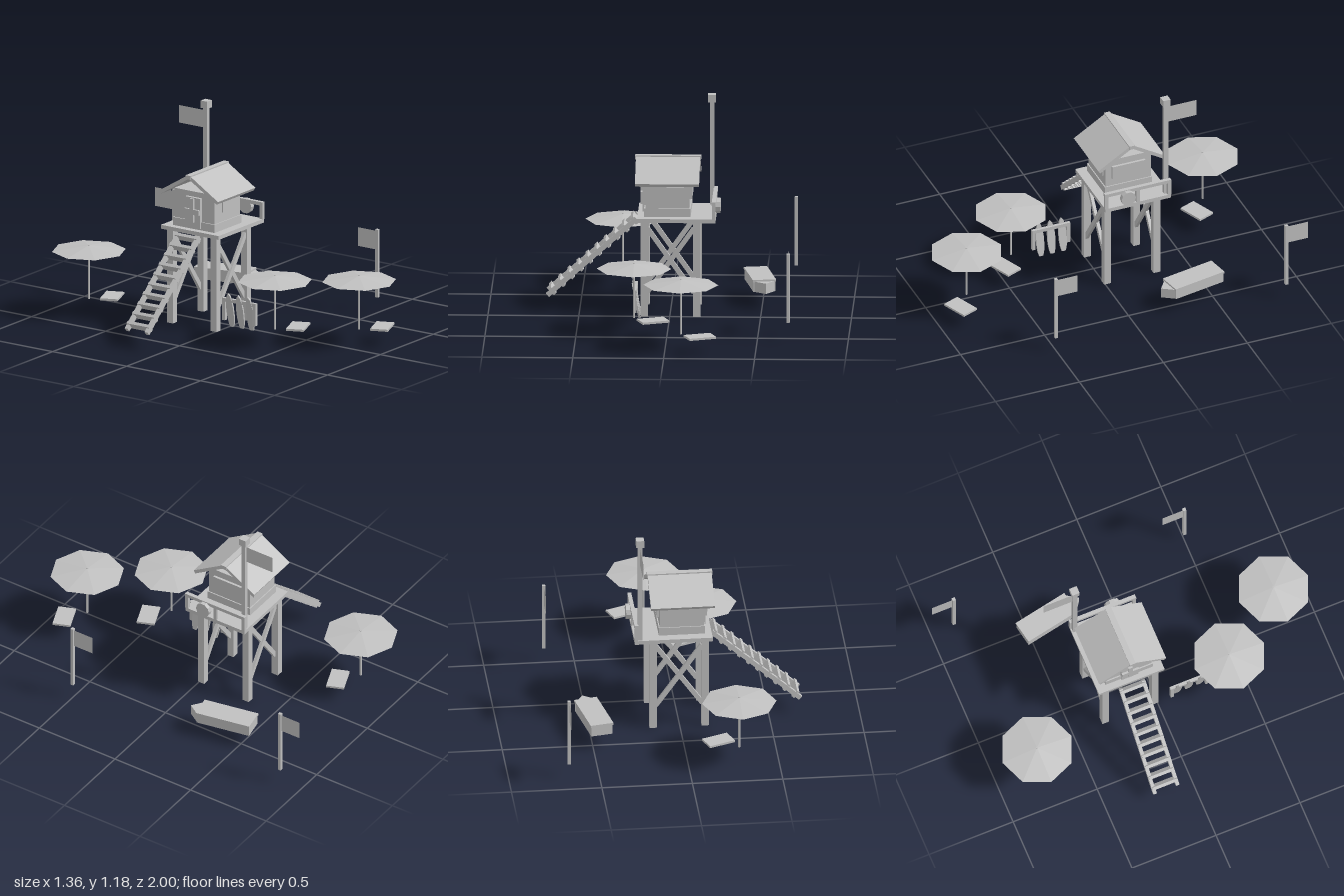
import * as THREE from 'three';

export function createModel() {
  const model = new THREE.Group();
  model.name = 'beachLifeguardStation';
  const grey = new THREE.MeshStandardMaterial({ color: 0xc0c0c0 });
  grey.name = 'plainGrey';
  const greySheet = new THREE.MeshStandardMaterial({ color: 0xc0c0c0, side: THREE.DoubleSide });
  greySheet.name = 'plainGrey';

  const add = (name, geo, x = 0, y = 0, z = 0, parent = model, mat = grey) => {
    const mesh = new THREE.Mesh(geo.index ? geo.toNonIndexed() : geo, mat);
    mesh.geometry.computeVertexNormals();
    mesh.name = name;
    mesh.position.set(x, y, z);
    parent.add(mesh);
    return mesh;
  };
  // box given by its limits on each axis
  const box = (name, x0, x1, y0, y1, z0, z1, parent = model) =>
    add(name, new THREE.BoxGeometry(x1 - x0, y1 - y0, z1 - z0),
      (x0 + x1) / 2, (y0 + y1) / 2, (z0 + z1) / 2, parent);
  const group = (name, x = 0, y = 0, z = 0) => {
    const g = new THREE.Group();
    g.name = name;
    g.position.set(x, y, z);
    model.add(g);
    return g;
  };
  const CZ = -0.161; // tower centre line

  // Tower legs and cross braces
  const tower = group('tower');
  for (const z of [CZ - 0.147, CZ + 0.147]) {
    for (const x of [-0.14, 0.148]) box('leg', x - 0.02, x + 0.02, 0, 0.54, z - 0.02, z + 0.02, tower);
    for (const s of [-1, 1]) {
      const brace = add('crossBrace', new THREE.BoxGeometry(0.445, 0.026, 0.018), 0.004, 0.315, z + s * 0.004, tower);
      brace.rotation.z = s * 0.955;
    }
  }
  box('platform', -0.179, 0.252, 0.536, 0.558, CZ - 0.195, CZ + 0.195, tower);

  // Cabin
  const cabin = group('cabin');
  box('cabinWalls', -0.135, 0.108, 0.557, 0.77, CZ - 0.135, CZ + 0.135, cabin);
  box('cabinBase', -0.142, 0.114, 0.557, 0.604, CZ - 0.141, CZ + 0.141, cabin);
  for (const s of [-1, 1]) {
    const z = CZ + s * 0.137;
    box('window', -0.062, 0.077, 0.657, 0.723, z - 0.004, z + 0.004, cabin);
  }
  box('sideWindow', 0.106, 0.122, 0.65, 0.73, CZ - 0.098, CZ + 0.098, cabin);
  box('door', -0.153, -0.134, 0.567, 0.74, CZ - 0.05, CZ + 0.05, cabin);
  box('doorPost', -0.165, -0.15, 0.6, 0.735, CZ - 0.013, CZ + 0.013, cabin);
  box('doorBar', -0.165, -0.15, 0.645, 0.675, CZ - 0.05, CZ + 0.05, cabin);

  // Pitched roof
  const pitch = 0.55;
  for (const s of [-1, 1]) {
    const slab = add('roofSlab', new THREE.BoxGeometry(0.353, 0.02, 0.224), -0.014, 0.806, CZ + s * 0.099, cabin);
    slab.rotation.x = s * pitch;
  }
  box('ridgeCap', -0.195, 0.168, 0.853, 0.875, CZ - 0.017, CZ + 0.017, cabin);

  // Railing with lifebuoy
  const railing = group('railing');
  for (const z of [-0.187, 0, 0.187])
    box('railPost', 0.234, 0.252, 0.557, 0.64, CZ + z - 0.01, CZ + z + 0.01, railing);
  box('topRail', 0.232, 0.254, 0.635, 0.655, CZ - 0.197, CZ + 0.197, railing);
  const buoy = add('lifebuoy', new THREE.CylinderGeometry(0.043, 0.043, 0.026, 10), 0.264, 0.609, -0.095, railing);
  buoy.rotation.z = Math.PI / 2;

  // Flags: thin square pole with a sheet trailing to -z
  const flag = (name, x, z, y0, y1, w, sheetLength, sheetTop, sheetHeight) => {
    const g = group(name, x, 0, z);
    box('flagPole', -w / 2, w / 2, y0, y1, -w / 2, w / 2, g);
    const sheet = add('flagSheet', new THREE.PlaneGeometry(sheetLength, sheetHeight),
      0, sheetTop - sheetHeight / 2, -w / 2 - sheetLength / 2, g, greySheet);
    sheet.rotation.y = Math.PI / 2;
    return g;
  };
  const mast = flag('mast', 0.222, -0.336, 0.557, 1.14, 0.025, 0.172, 1.122, 0.1);
  box('mastCap', -0.022, 0.022, 1.138, 1.18, -0.022, 0.022, mast);
  for (const z of [0.502, -0.87]) flag('beachFlag', 0.668, z, 0.09, 0.478, 0.018, 0.121, 0.468, 0.107);

  // Ladder, built along x and then tilted
  const ladder = group('ladder', -0.43, 0.312, CZ - 0.002);
  ladder.rotation.z = Math.atan2(0.435, 0.49);
  for (const z of [-0.067, 0.067])
    box('ladderRail', -0.328, 0.328, -0.013, 0.013, z - 0.01, z + 0.01, ladder);
  for (let i = 0; i < 10; i++) {
    const x = -0.292 + i * 0.067;
    box('rung', x - 0.009, x + 0.009, -0.023, 0.023, -0.074, 0.074, ladder);
  }

  // Parasols, each with a lounging mat
  for (const [x, z] of [[-0.283, -0.768], [-0.182, 0.417], [0.088, 0.793]]) {
    const g = group('parasol', x, 0, z);
    add('canopy', new THREE.ConeGeometry(0.206, 0.029, 8), 0, 0.382, 0, g);
    add('parasolPole', new THREE.CylinderGeometry(0.006, 0.006, 0.309, 8), 0, 0.2445, 0, g);
    const mat = add('beachMat', new THREE.BoxGeometry(0.155, 0.012, 0.1), 0.107, 0.094, 0.08, g);
    mat.rotation.y = 0.38;
  }

  // Boat with a triangular bow
  const boat = group('boat', 0.483, 0, -0.395);
  boat.rotation.y = 0.19;
  box('hull', -0.061, 0.061, 0.088, 0.145, -0.157, 0.157, boat);
  box('gunwale', -0.065, 0.065, 0.143, 0.156, -0.16, 0.16, boat);
  const bow = new THREE.Shape([[-0.062, -0.15], [0.062, -0.15], [0, -0.215]].map((p) => new THREE.Vector2(...p)));
  const bowGeo = new THREE.ExtrudeGeometry(bow, { depth: 0.058, bevelEnabled: false });
  bowGeo.rotateX(-Math.PI / 2);
  add('bow', bowGeo, 0, 0.088, 0, boat);

  // Surfboard rack
  const rack = group('surfboardRack', -0.182, 0, 0.179);
  for (const z of [-0.103, 0.103])
    box('rackPost', -0.009, 0.009, 0.088, 0.2, z - 0.01, z + 0.01, rack);
  box('rackBar', -0.009, 0.009, 0.195, 0.215, -0.113, 0.113, rack);
  const half = [[0.012, -0.098], [0.019, -0.07], [0.023, -0.03], [0.023, 0.02], [0.018, 0.06], [0.011, 0.087]];
  const outline = [[0, -0.1], ...half, [0, 0.1], ...half.map(([x, y]) => [-x, y]).reverse()];
  const boardGeo = new THREE.ExtrudeGeometry(
    new THREE.Shape(outline.map((p) => new THREE.Vector2(...p))), { depth: 0.01, bevelEnabled: false });
  boardGeo.translate(0, 0, -0.005);
  boardGeo.rotateY(Math.PI / 2);
  boardGeo.rotateZ(0.19);
  for (const z of [-0.067, 0, 0.067]) add('surfboard', boardGeo, 0.005, 0.148, z, rack);

  return model;
}
